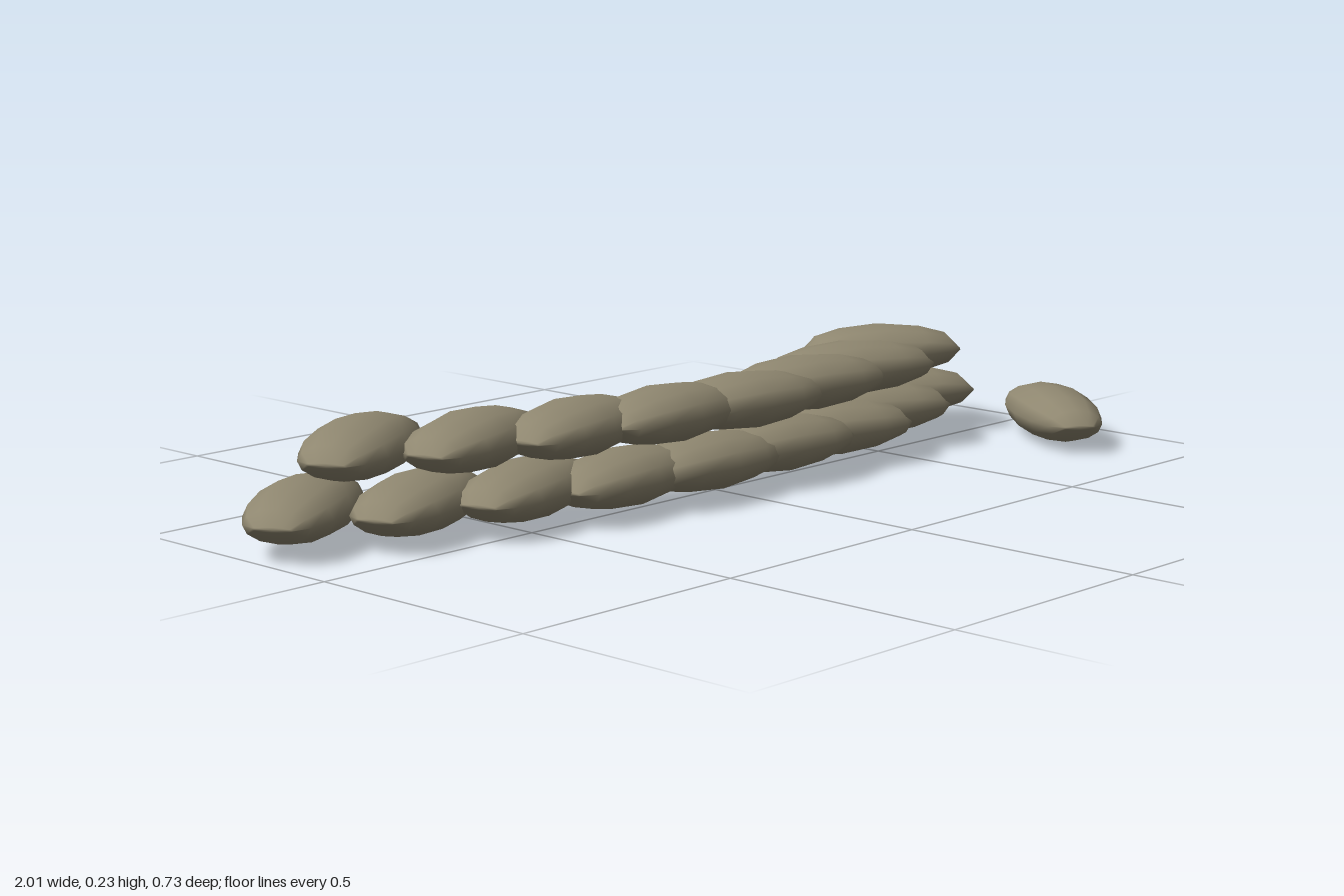
import * as THREE from 'three';
import { mergeVertices } from 'three/addons/utils/BufferGeometryUtils.js';

const canvas = new THREE.MeshStandardMaterial({ color: 0x8f8770 });
canvas.name = 'khaki canvas';

// Plump sack: a lathe laid along x, flattened, with both ends pinched to a seam
function sackGeometry() {
  const profile = [
    [0, -0.18], [0.038, -0.18], [0.065, -0.153], [0.087, -0.09], [0.096, 0],
    [0.087, 0.09], [0.065, 0.153], [0.038, 0.18], [0, 0.18],
  ].map(([r, y]) => new THREE.Vector2(r, y));
  let g = new THREE.LatheGeometry(profile, 12);
  g.rotateZ(-Math.PI / 2);
  const p = g.attributes.position;
  for (let i = 0; i < p.count; i++) {
    const t = Math.abs(p.getX(i)) / 0.18;
    const pinch = t > 0.99 ? 0.12 : 0.58 - 0.12 * t * t;
    p.setY(i, p.getY(i) * pinch);
  }
  g.deleteAttribute('uv');
  g.deleteAttribute('normal');
  g = mergeVertices(g, 1e-4);
  g.computeVertexNormals();
  return g;
}

export function createModel() {
  const group = new THREE.Group();
  group.name = 'sandbagWall';
  const geometry = sackGeometry();

  function addBag(parent, name, x, y, z, yaw) {
    const bag = new THREE.Mesh(geometry, canvas);
    bag.name = name;
    bag.position.set(x, y, z);
    bag.rotation.y = yaw;
    parent.add(bag);
    return bag;
  }

  // Two staggered courses following a shallow arc
  const radius = 1.54, step = THREE.MathUtils.degToRad(7.88);
  [['lowerCourse', 9, 0.066], ['upperCourse', 8, 0.174]].forEach(([name, count, y]) => {
    const course = new THREE.Group();
    course.name = name;
    for (let i = 0; i < count; i++) {
      const a = (i - (count - 1) / 2) * step;
      const x = radius * Math.sin(a) - 0.035;
      const z = 0.01 - radius * (1 - Math.cos(a)) + 0.033 * x;
      // Slight settling varies each bag
      const wobble = Math.sin(i * 2.4 + count);
      addBag(course, name + 'Bag' + (i + 1), x, y + wobble * 0.002, z, -a + wobble * 0.03);
    }
    group.add(course);
  });

  // Turned and slightly raised bag at the end of the upper course
  const last = group.getObjectByName('upperCourseBag8');
  last.rotation.y = -0.6;
  last.scale.x = 0.92;
  last.position.y = 0.176;

  // Fallen bag in front of the left end
  addBag(group, 'fallenBag', 0.865, 0.056, 0.178, 0.95).scale.z = 0.9;
  return group;
}
